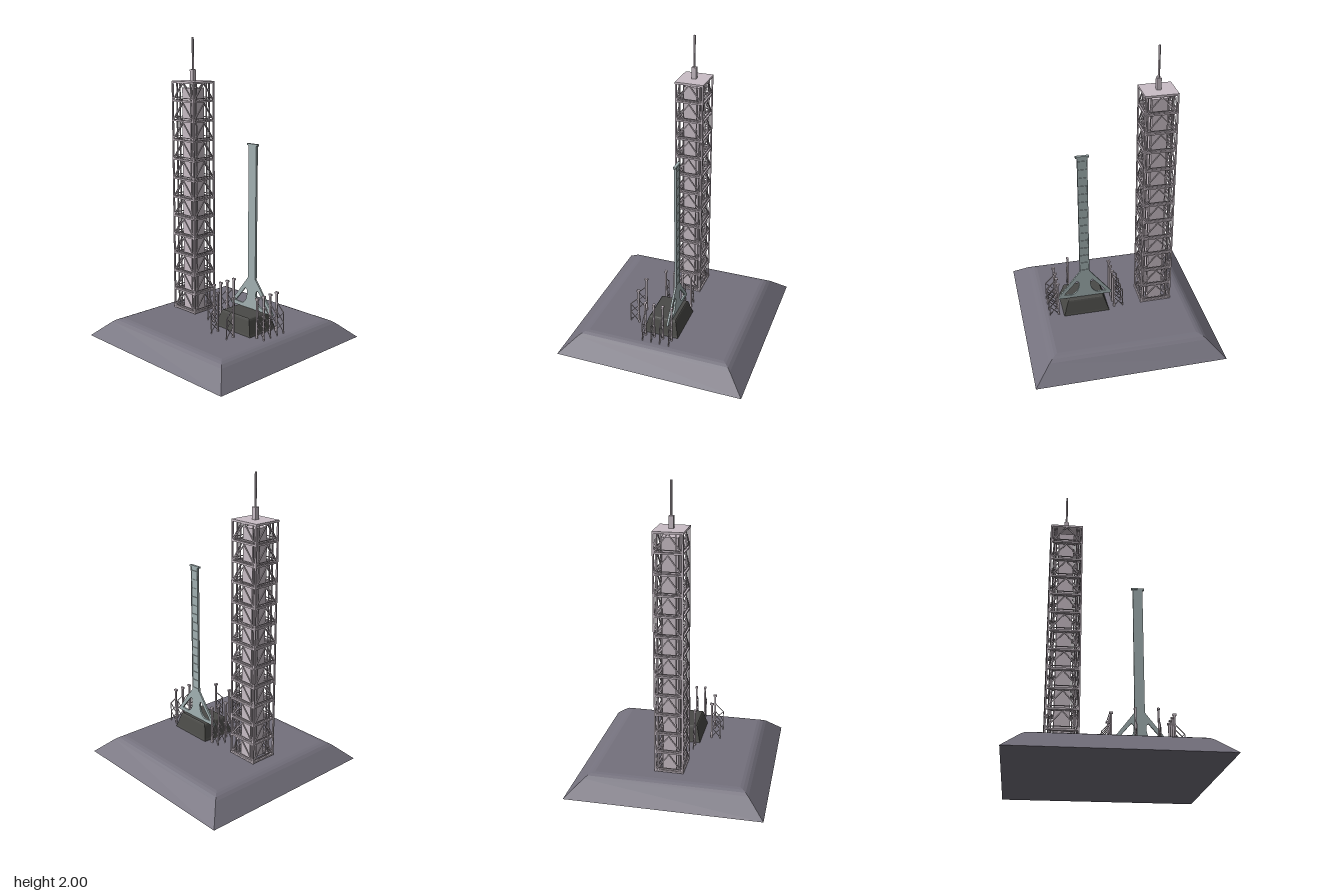
import * as THREE from 'three';
import { mergeGeometries } from 'three/addons/utils/BufferGeometryUtils.js';

const mat = (color) => new THREE.MeshStandardMaterial({ color, flatShading: true });
const concrete = mat(0x74717d), dark = mat(0x4a4a47), steel = mat(0xc9bec6), pylonGrey = mat(0xa3b2b3);

function mesh(name, geometry, material) {
  const m = new THREE.Mesh(geometry, material);
  m.name = name;
  return m;
}

const box = (w, h, d, x, y, z) => new THREE.BoxGeometry(w, h, d).translate(x, y, z);

// Square bar between two points
function beam(a, b, t) {
  const p = new THREE.Vector3(...a), q = new THREE.Vector3(...b);
  const d = q.clone().sub(p);
  const g = new THREE.BoxGeometry(t, d.length(), t);
  const turn = new THREE.Quaternion().setFromUnitVectors(new THREE.Vector3(0, 1, 0), d.normalize());
  g.applyQuaternion(turn);
  const c = p.add(q).multiplyScalar(0.5);
  return g.translate(c.x, c.y, c.z);
}

// Four-sided sloping solid from [half width, height] pairs
function squareFrustum(profile) {
  const pts = [[0, profile[0][1]], ...profile, [0, profile[profile.length - 1][1]]];
  const g = new THREE.LatheGeometry(pts.map(([r, y]) => new THREE.Vector2(r * Math.SQRT2, y)), 4, Math.PI / 4).toNonIndexed();
  g.computeVertexNormals();
  return g;
}

// Lattice tower: corner posts, floor rings, V braces, inner shaft and mast
function createTower() {
  const tower = new THREE.Group();
  tower.name = 'latticeTower';
  const hx = 0.103, hz = 0.09, y0 = 0.13, bays = 12, step = 0.1315, top = y0 + bays * step;
  const posts = [], rings = [], braces = [], guides = [];
  const corners = [[-hx, -hz], [hx, -hz], [hx, hz], [-hx, hz]];

  for (const [x, z] of corners) {
    posts.push(box(0.01, top - y0, 0.01, x, (top + y0) / 2, z));
    for (const [kx, kz] of [[0.79, 0.79], [0.66, 0.9], [0.79, 0.5]]) {
      guides.push(box(0.007, top - y0, 0.007, x * kx, (top + y0) / 2, z * kz));
    }
  }
  for (let i = 0; i <= bays; i++) {
    const y = y0 + i * step + 0.008;
    corners.forEach(([x, z], k) => {
      const [u, w] = corners[(k + 1) % 4];
      const mx = (x + u) / 2, mz = (z + w) / 2;
      if (i < bays) {
        rings.push(beam([x, y, z], [u, y, w], 0.011));
        rings.push(beam([x, y + 0.02, z], [u, y + 0.02, w], 0.005));
        rings.push(beam([x * 0.79, y, z * 0.79], [u * 0.79, y, w * 0.79], 0.008));
        const apex = [mx, y + step - 0.012, mz];
        braces.push(beam([x, y, z], apex, 0.007), beam([u, y, w], apex, 0.007));
        // short struts joining the outer ring to the shaft
        braces.push(beam([x, y, z], [x * 0.5, y, z * 0.55], 0.006));
      }
    });
  }
  tower.add(
    mesh('cornerPosts', mergeGeometries(posts), steel),
    mesh('guideRails', mergeGeometries(guides), steel),
    mesh('floorRings', mergeGeometries(rings), steel),
    mesh('braces', mergeGeometries(braces), steel),
    mesh('liftShaft', box(0.1, 1.54, 0.105, 0, 0.9, 0), steel),
    mesh('roofPlate', box(0.216, 0.014, 0.192, 0, 1.708, 0), steel),
    mesh('mastBase', box(0.03, 0.076, 0.03, 0, 1.753, 0), steel),
    mesh('mast', new THREE.CylinderGeometry(0.007, 0.007, 0.21, 10).translate(0, 1.895, 0), steel),
  );
  tower.position.x = -0.293;
  return tower;
}

// Tall slab with splayed legs, a cap and ribs on its back
function createPylon() {
  const pylon = new THREE.Group();
  pylon.name = 'pylon';
  const s = 0.033;
  const shape = new THREE.Shape();
  shape.moveTo(-0.19, 0.235);
  shape.lineTo(0.19, 0.235);
  shape.lineTo(0.185, 0.25);
  shape.lineTo(s, 0.445);
  shape.lineTo(s, 1.325);
  shape.lineTo(-s, 1.325);
  shape.lineTo(-s, 0.445);
  shape.lineTo(-0.185, 0.25);
  shape.closePath();
  for (const m of [-1, 1]) {
    const hole = new THREE.Path();
    hole.moveTo(m * 0.148, 0.262);
    hole.lineTo(m * 0.056, 0.37);
    hole.quadraticCurveTo(m * 0.036, 0.366, m * 0.04, 0.33);
    hole.quadraticCurveTo(m * 0.048, 0.27, m * 0.09, 0.258);
    hole.closePath();
    shape.holes.push(hole);
  }
  const slab = new THREE.ExtrudeGeometry(shape, { depth: 0.012, bevelEnabled: false, curveSegments: 6 });
  slab.translate(0, 0, -0.006);

  const ribs = [];
  for (let i = 0; i < 15; i++) ribs.push(box(2 * s, 0.005, 0.004, 0, 0.46 + i * 0.06, -0.008));
  for (const m of [-1, 1]) ribs.push(box(0.004, 0.88, 0.004, m * (s - 0.002), 0.885, -0.008));
  pylon.add(
    mesh('pylonSlab', slab, pylonGrey),
    mesh('pylonRibs', mergeGeometries(ribs), pylonGrey),
    mesh('pylonCap', box(0.088, 0.012, 0.018, 0, 1.331, 0), pylonGrey),
  );
  pylon.position.set(0.207, 0, -0.06);
  return pylon;
}

// Service post with a braced frame reaching outward along local +x
function createServicePost() {
  const reach = 0.06, base = 0.125;
  const parts = [
    box(0.011, 0.26, 0.011, 0, 0.255, 0),
    box(0.024, 0.012, 0.015, 0, 0.386, 0),
    beam([reach, base, 0], [reach, 0.265, 0], 0.005),
    beam([reach, 0.265, 0], [0, 0.325, 0], 0.005),
    beam([reach, 0.265, 0], [0, 0.205, 0], 0.004),
    beam([0, 0.205, 0], [reach, 0.135, 0], 0.004),
    beam([reach, 0.2, 0], [0, 0.265, 0], 0.004),
    beam([reach, 0.2, 0], [0, 0.135, 0], 0.004),
  ];
  return mergeGeometries(parts);
}

export function createModel() {
  const model = new THREE.Group();
  model.name = 'launchPad';

  // Sloped mound with a softened upper edge
  model.add(mesh('mound', squareFrustum([[0.643, 0], [0.535, 0.1], [0.515, 0.114], [0.495, 0.122], [0.475, 0.126]]), concrete));
  model.add(createTower());

  // Dark plinth below the pylon
  const plinth = squareFrustum([[1, 0.125], [0.96, 0.14], [0.8, 0.222], [0.77, 0.232], [0.73, 0.236]]);
  plinth.scale(0.16, 1, 0.122);
  model.add(mesh('plinth', plinth.translate(0.206, 0, 0), dark));
  model.add(createPylon());

  // Service posts: four on each side, two at the front
  const postGeometry = createServicePost();
  const addPost = (name, x, z, turn) => {
    const post = mesh(name, postGeometry, steel);
    post.position.set(x, 0, z);
    post.rotation.y = turn;
    model.add(post);
  };
  for (let i = 0; i < 4; i++) {
    const z = -0.091 + i * 0.0615;
    addPost('rightServicePost', 0.006, z, Math.PI);
    addPost('leftServicePost', 0.4, z, 0);
  }
  for (const x of [0.142, 0.284]) addPost('frontServicePost', x, 0.188, -Math.PI / 2);

  return model;
}
